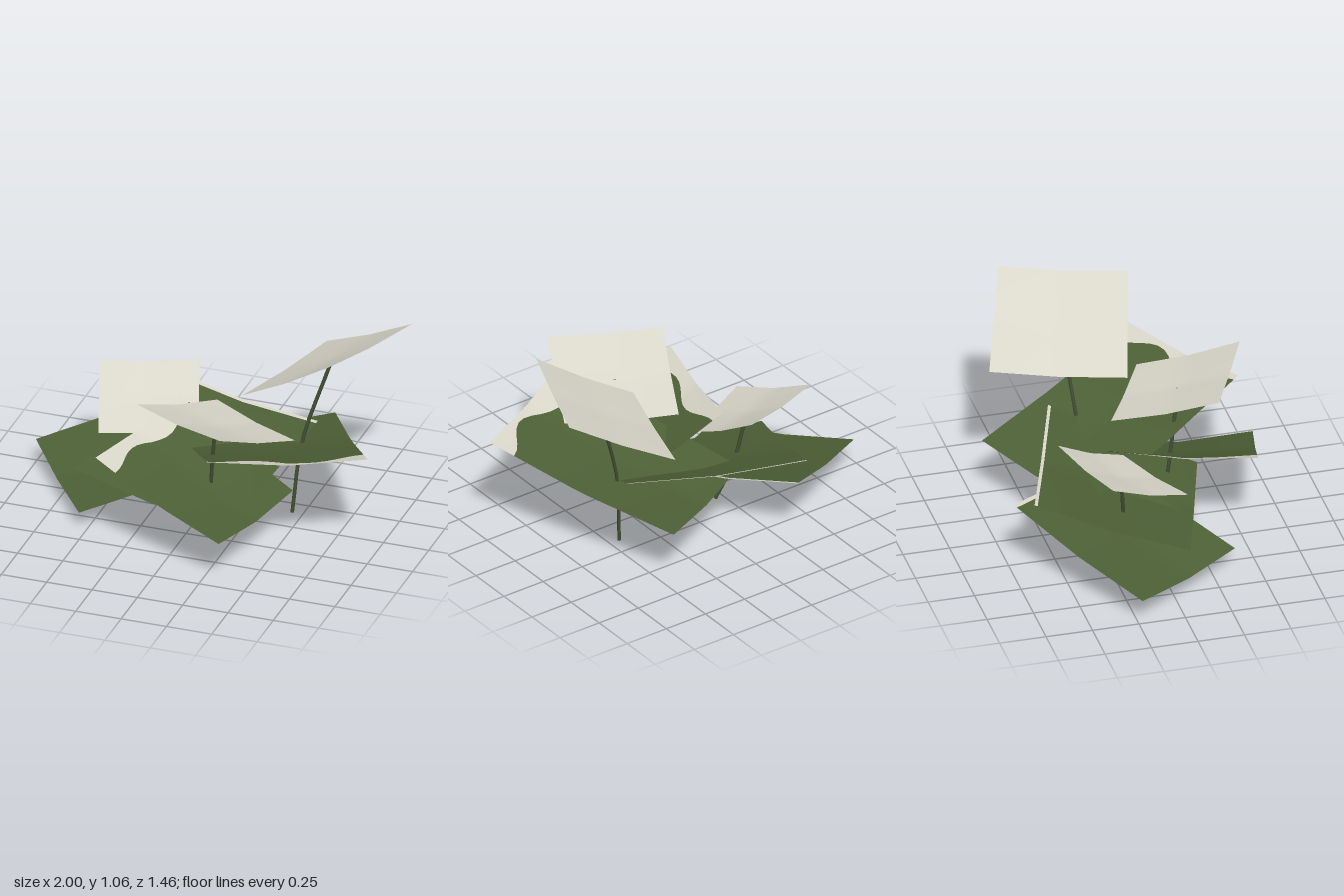
import * as THREE from 'three';

const tent = (t) => 1 - Math.abs(2 * t - 1);

// Four-cornered sheet with a sagging middle fold both ways.
// Corners run a-b along u at v = 0, d-c along u at v = 1; v spans from(u) to to(u).
function sheet([a, b, c, d], sag, from, to) {
  const P = [a, b, c, d].map((p) => new THREE.Vector3(...p));
  const g = new THREE.PlaneGeometry(1, 1, 16, 8);
  const pos = g.attributes.position;
  const near = new THREE.Vector3(), far = new THREE.Vector3();
  for (let i = 0; i < pos.count; i++) {
    const u = pos.getX(i) + 0.5;
    const v = THREE.MathUtils.lerp(from(u), to(u), pos.getY(i) + 0.5);
    near.lerpVectors(P[0], P[1], u);
    far.lerpVectors(P[3], P[2], u);
    near.lerp(far, v);
    pos.setXYZ(i, near.x, near.y - sag * (tent(u) + tent(v)), near.z);
  }
  g.computeVertexNormals();
  return g;
}

export function createModel() {
  const model = new THREE.Group();
  const make = (name, color, side) => {
    const m = new THREE.MeshStandardMaterial({ color, side });
    m.name = name;
    return m;
  };
  const green = make('leafGreen', 0x4d6036, THREE.DoubleSide);
  const pale = make('petalCream', 0xd9d7c9, THREE.DoubleSide);
  const stemGreen = make('stemGreen', 0x435035, THREE.FrontSide);

  const add = (name, geometry, material, parent = model) => {
    const mesh = new THREE.Mesh(geometry, material);
    mesh.name = name;
    parent.add(mesh);
  };
  const zero = () => 0, one = () => 1;

  // Cream petals on top of the stems
  const petals = [
    ['petalLeft', [[0.75, 1.06, 0.16], [0.99, 1.045, -0.47], [0.45, 0.75, -0.665], [0.23, 0.735, 0.02]], 0.012],
    ['petalFront', [[-0.22, 0.785, 0.39], [0.33, 0.8, 0.65], [0.57, 0.6, 0.16], [0.04, 0.605, -0.12]], 0.015],
    ['petalRight', [[-0.675, 0.62, -0.3], [-0.18, 0.635, -0.465], [-0.05, 0.445, -0.08], [-0.52, 0.44, 0.145]], 0.017],
  ];
  for (const [name, corners, sag] of petals) add(name, sheet(corners, sag, zero, one), pale);

  // Broad green leaves, each with a cream margin along its first edge
  const wave = (base, swing) => (u) => base + swing * Math.cos(3 * Math.PI * u);
  const leaves = [
    ['leafRight', [[-0.28, 0.375, -0.73], [0.18, 0.33, -0.11], [-0.54, 0.09, 0.39], [-1, 0.13, -0.23]], 0.022, wave(0.025, 0)],
    ['leafFront', [[-0.39, 0.525, 0.555], [-0.19, 0.565, -0.19], [0.49, 0.195, -0.03], [0.35, 0.235, 0.725]], 0.027, wave(0.12, 0.04)],
    ['leafMiddle', [[-0.4, 0.43, -0.65], [0.52, 0.46, -0.33], [0.25, 0.155, 0.4], [-0.66, 0.19, 0.12]], 0.025, wave(0.02, 0)],
    ['leafLeft', [[0.995, 0.6, 0.23], [0.25, 0.645, 0.62], [-0.22, 0.285, -0.3], [0.485, 0.32, -0.695]], 0.028, wave(0.08, 0.05)],
  ];
  for (const [name, corners, sag, margin] of leaves) {
    const leaf = new THREE.Group();
    leaf.name = name;
    add(name + 'Blade', sheet(corners, sag, margin, one), green, leaf);
    add(name + 'Margin', sheet(corners, sag, zero, margin), pale, leaf);
    model.add(leaf);
  }

  // Slender, gently bent stems
  const stems = [
    ['stemLeft', [[0.443, 0, -0.15], [0.483, 0.4, -0.19], [0.623, 0.865, -0.24]]],
    ['stemFront', [[0.147, 0, 0.19], [0.127, 0.25, 0.215], [0.17, 0.67, 0.275]]],
    ['stemRight', [[-0.2, 0, -0.11], [-0.29, 0.19, -0.14], [-0.35, 0.47, -0.17]]],
  ];
  for (const [name, points] of stems) {
    const curve = new THREE.CatmullRomCurve3(points.map((p) => new THREE.Vector3(...p)));
    add(name, new THREE.TubeGeometry(curve, 8, 0.01, 6), stemGreen);
    const foot = new THREE.CircleGeometry(0.01, 6).rotateX(Math.PI / 2).translate(...points[0]);
    add(name + 'Foot', foot, stemGreen);
  }
  return model;
}
